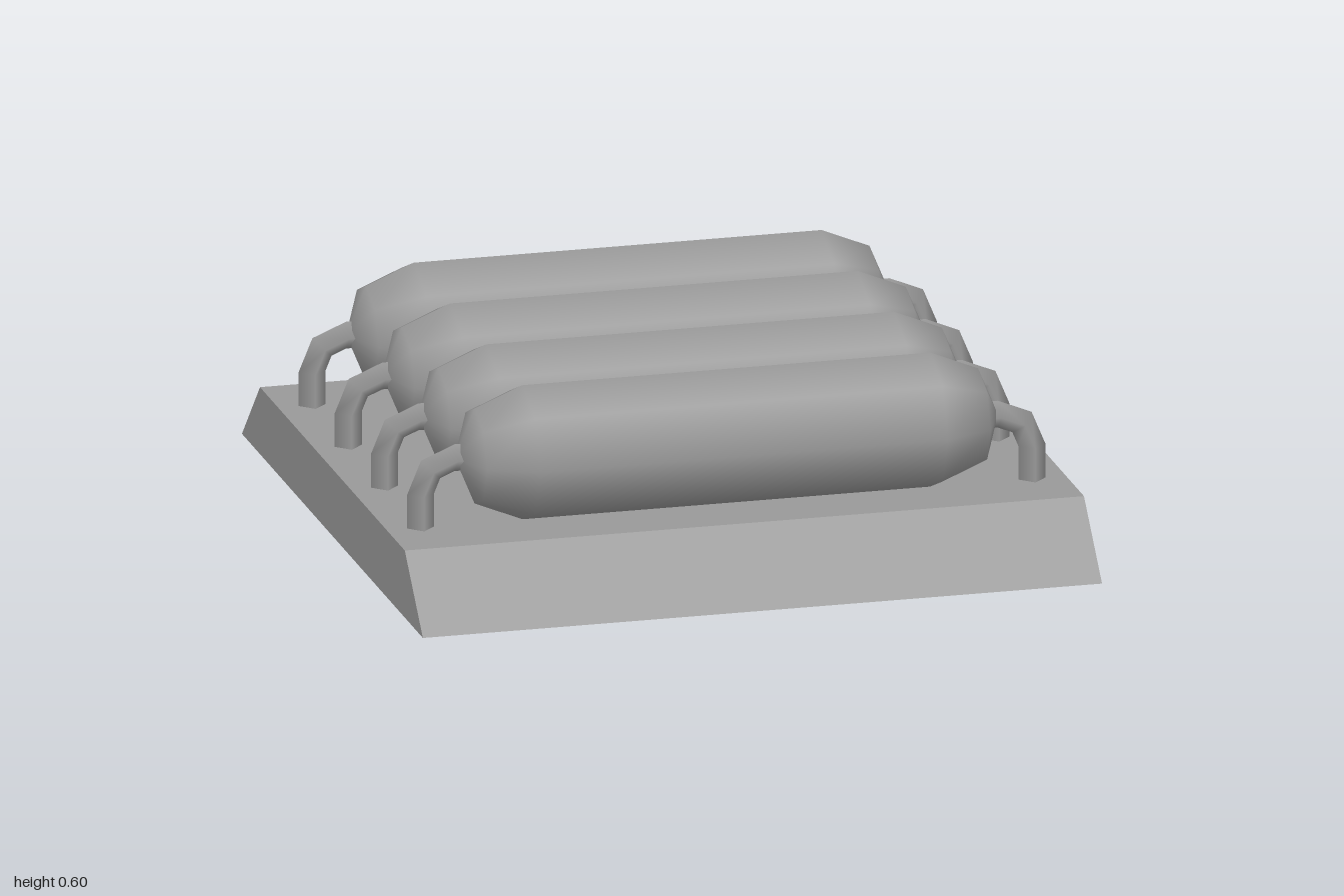
import * as THREE from 'three';

const grey = new THREE.MeshStandardMaterial({ color: 0x999999 });
const greyShell = new THREE.MeshStandardMaterial({ color: 0x999999, side: THREE.DoubleSide });

// Pipe path: straight up, a quarter bend with one mitre, then into the tank end
class ElbowPath extends THREE.Curve {
  constructor() {
    super();
    const bend = (a) => [0.8 + 0.1 * Math.cos(a), 0.3 + 0.1 * Math.sin(a), a];
    this.stops = [[0.9, 0.2, 0], bend(0), bend(Math.PI / 4), bend(Math.PI / 2), [0.76, 0.4, Math.PI / 2]];
  }
  stop(u) {
    return this.stops[Math.round(u * (this.stops.length - 1))];
  }
  getPointAt(u, target = new THREE.Vector3()) {
    const [x, y] = this.stop(u);
    return target.set(x, y, 0);
  }
  getTangentAt(u, target = new THREE.Vector3()) {
    const a = this.stop(u)[2];
    return target.set(-Math.sin(a), Math.cos(a), 0);
  }
}

// Hollow plinth, open underneath, with sloping front and back
function plinthGeometry() {
  const geo = new THREE.BoxGeometry(2, 0.2, 2).translate(0, 0.1, 0);
  const pos = geo.attributes.position;
  for (let i = 0; i < pos.count; i++) {
    if (pos.getY(i) > 0.1) pos.setZ(i, pos.getZ(i) * 0.8);
  }
  // leave out the bottom face
  const index = Array.from(geo.index.array);
  index.splice(18, 6);
  geo.setIndex(index);
  geo.clearGroups();
  geo.computeVertexNormals();
  return geo;
}

export function createModel() {
  const model = new THREE.Group();
  model.name = 'tankRack';

  const add = (parent, name, geometry, material) => {
    const mesh = new THREE.Mesh(geometry, material);
    mesh.name = name;
    parent.add(mesh);
    return mesh;
  };

  add(model, 'plinth', plinthGeometry(), greyShell);

  // Four round-ended tanks side by side, each with a pipe at both ends
  const tankGeo = new THREE.CapsuleGeometry(0.2, 1.2, 2, 8).rotateZ(Math.PI / 2).translate(0, 0.4, 0);
  const pipeGeo = new THREE.TubeGeometry(new ElbowPath(), 4, 0.04, 4);
  for (const z of [-0.6, -0.2, 0.2, 0.6]) {
    const unit = new THREE.Group();
    unit.name = 'tankUnit';
    unit.position.z = z;
    add(unit, 'tank', tankGeo, grey);
    add(unit, 'leftPipe', pipeGeo, greyShell);
    add(unit, 'rightPipe', pipeGeo, greyShell).rotation.y = Math.PI;
    model.add(unit);
  }
  return model;
}
